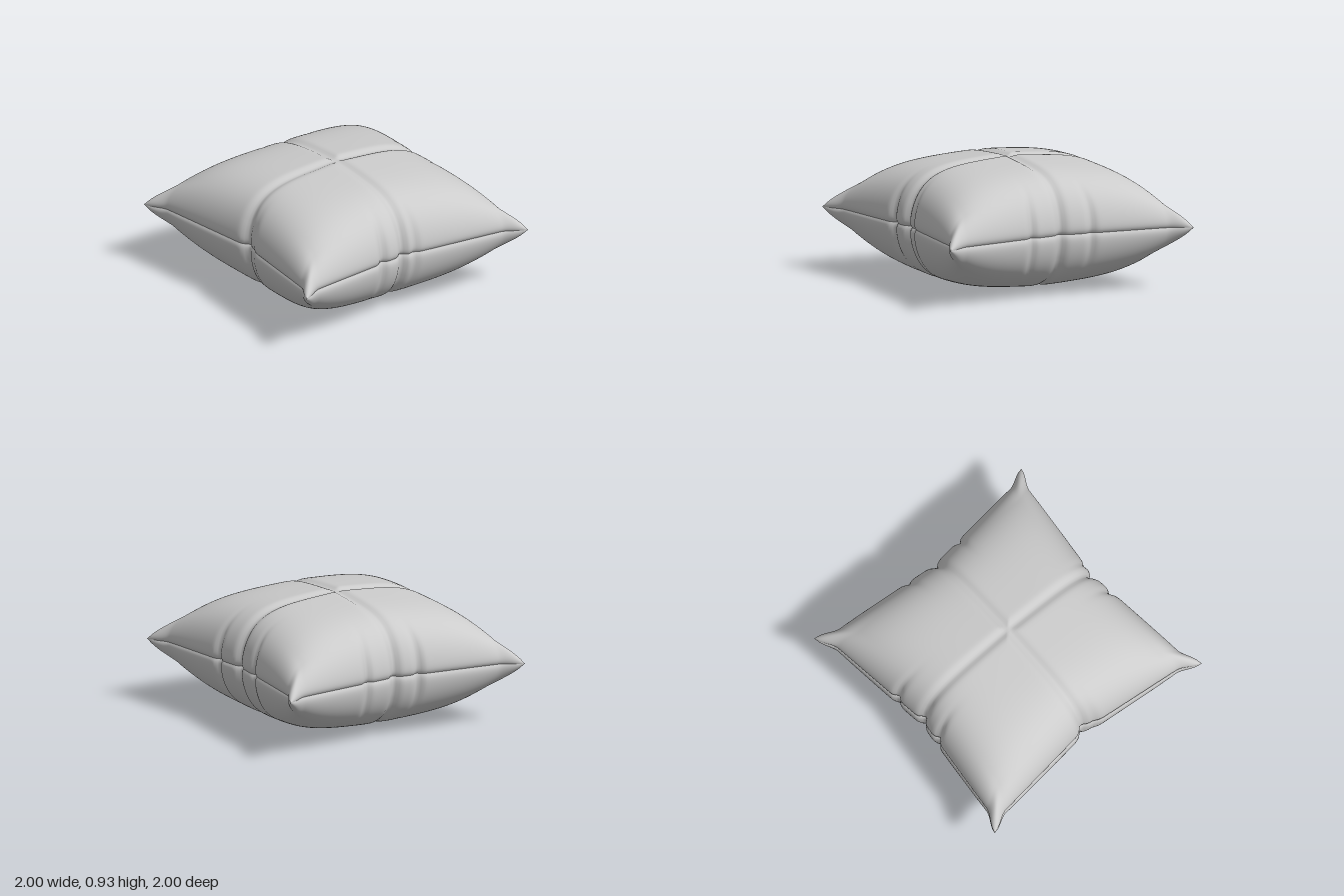
import * as THREE from 'three';

const N = 160;      // grid cells across each half
const HALF = 0.475; // height of each half above and below the seam

const material = new THREE.MeshStandardMaterial({ color: 0xcccccc, roughness: 0.8 });

// Puckers along each edge: [position along edge, depth, width]
const puckers = {
  left: [[0, 0.04, 0.035], [-0.1, 0.02, 0.03], [0.19, 0.035, 0.035]],
  right: [[0, 0.04, 0.035], [-0.25, 0.03, 0.03], [0.19, 0.035, 0.03]],
  front: [[0.02, 0.045, 0.045], [0.1, 0.02, 0.04]],
  back: [[0, 0.035, 0.035], [-0.24, 0.025, 0.03], [0.25, 0.03, 0.03]],
};

const bell = (t, w) => Math.exp(-((t / w) ** 2));

// Half-width of the cover: narrow mid-edge, flaring into a blunt ear at each corner
const reach = (t) => {
  const a = Math.abs(t);
  return 0.835 + 0.115 * a + 0.05 * THREE.MathUtils.smoothstep(a, 0.82, 0.98);
};

// Plump cross-section: gently domed in the middle, falling steeply to the seam
const plump = (t) => {
  const a = Math.abs(t);
  return Math.sqrt(Math.max(0, 1 - a ** 5)) * (1 - 0.12 * a);
};

// Inward pull at an edge from its puckers
const pull = (list, t) => list.reduce((sum, [at, depth, w]) => sum + depth * bell(t - at, w), 0);

function cushionPoint(u, v, side) {
  // the quarters slope off toward the corners
  let h = HALF * plump(u) * plump(v) * (1 - 0.2 * u * u * v * v);
  const tuck = 0.018 * Math.exp(-h / 0.02);
  // crossed grooves pressed into the middle
  const groove = Math.max(bell(u, 0.042), bell(v, 0.042));
  h -= 0.024 * groove * Math.min(1, h / 0.2);

  // seam tuck and puckers draw the rim inward, fading toward the middle and corners
  const inset = (a, b, list) =>
    Math.abs(a) ** 8 * (1 - Math.abs(b) ** 12) * (tuck + pull(list, b));
  const x = u * reach(v) - Math.sign(u) * inset(u, v, u > 0 ? puckers.left : puckers.right);
  const z = v * reach(u) - Math.sign(v) * inset(v, u, v > 0 ? puckers.front : puckers.back);
  return [x, HALF + side * h, z];
}

// One half of the cover as a grid, with samples crowded toward the seam
function cushionHalf(name, side) {
  const positions = [];
  const indices = [];
  const spread = (i) => Math.sin((i / N - 0.5) * Math.PI);
  for (let j = 0; j <= N; j++) {
    for (let i = 0; i <= N; i++) {
      positions.push(...cushionPoint(spread(i), spread(j), side));
    }
  }
  for (let j = 0; j < N; j++) {
    for (let i = 0; i < N; i++) {
      const a = j * (N + 1) + i;
      const b = a + 1;
      const c = a + N + 1;
      const d = c + 1;
      if (side > 0) indices.push(a, c, b, b, c, d);
      else indices.push(a, b, c, b, d, c);
    }
  }
  const geometry = new THREE.BufferGeometry();
  geometry.setAttribute('position', new THREE.Float32BufferAttribute(positions, 3));
  geometry.setIndex(indices);
  geometry.computeVertexNormals();
  const mesh = new THREE.Mesh(geometry, material);
  mesh.name = name;
  return mesh;
}

export function createModel() {
  const pillow = new THREE.Group();
  pillow.name = 'pillow';
  pillow.add(cushionHalf('upperCover', 1), cushionHalf('lowerCover', -1));
  return pillow;
}
